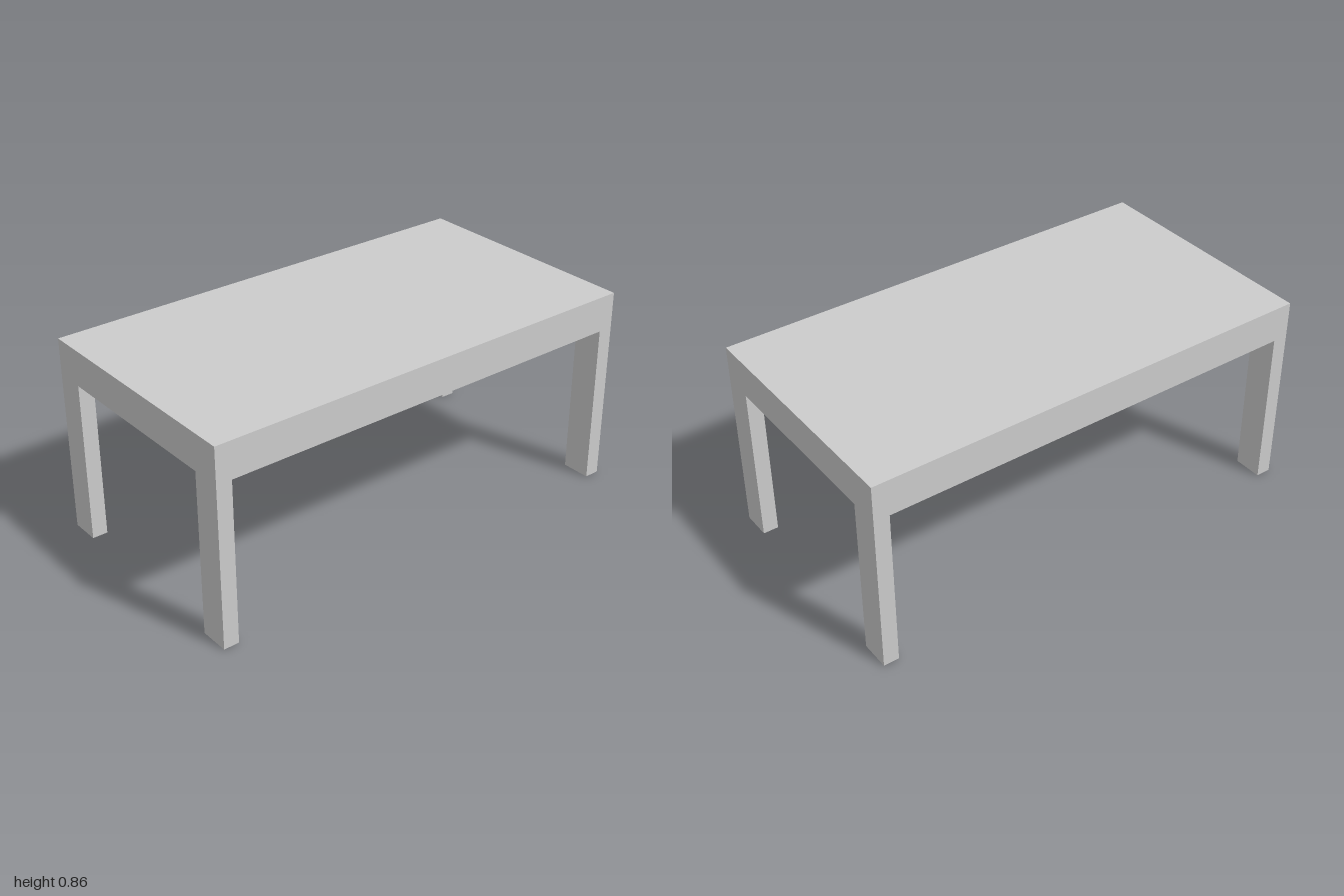
import * as THREE from 'three';

const WIDTH = 2, DEPTH = 1.067, HEIGHT = 0.864;
const LEG = { width: 0.067, height: 0.707, depth: 0.128 };

export function createModel() {
  const table = new THREE.Group();
  table.name = 'table';
  const material = new THREE.MeshStandardMaterial({ color: 0xcccccc, flatShading: true });

  const addBox = (name, w, h, d, x, y, z) => {
    const mesh = new THREE.Mesh(new THREE.BoxGeometry(w, h, d), material);
    mesh.name = name;
    mesh.position.set(x, y, z);
    table.add(mesh);
  };

  // Thick solid top
  const thickness = HEIGHT - LEG.height;
  addBox('tableTop', WIDTH, thickness, DEPTH, 0, HEIGHT - thickness / 2, 0);

  // Four legs flush with the corners
  for (const [side, sx] of [['Left', 1], ['Right', -1]]) {
    for (const [end, sz] of [['front', 1], ['back', -1]]) {
      addBox(`${end}${side}Leg`, LEG.width, LEG.height, LEG.depth,
        sx * (WIDTH - LEG.width) / 2, LEG.height / 2, sz * (DEPTH - LEG.depth) / 2);
    }
  }
  return table;
}
